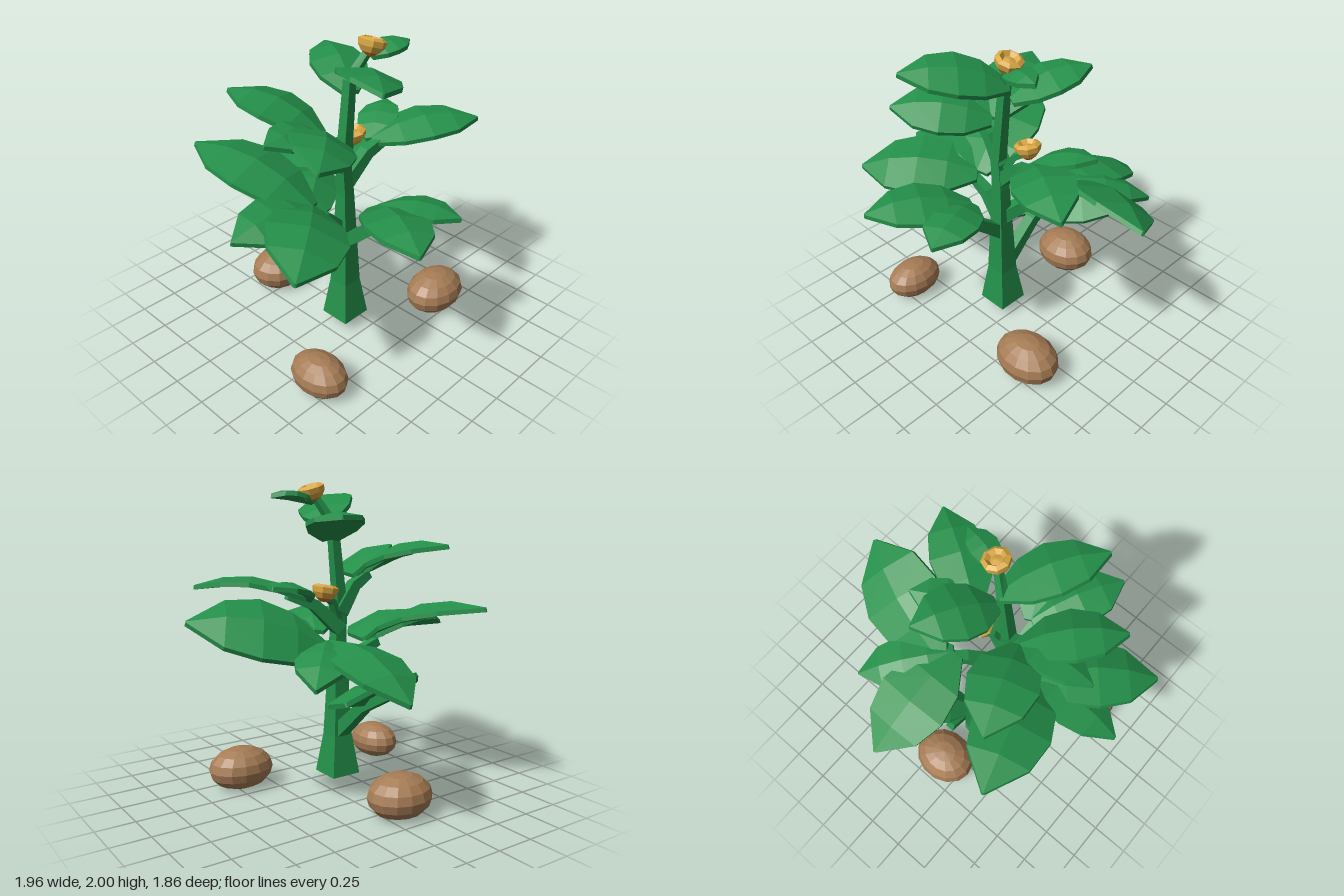
import * as THREE from 'three';

const mat = (name, color) => {
  const m = new THREE.MeshStandardMaterial({ color, flatShading: true });
  m.name = name;
  return m;
};
const V = (a) => new THREE.Vector3(...a);

// Moves every vertex of a geometry by a rule
function reshape(geo, rule) {
  const p = geo.attributes.position, v = new THREE.Vector3();
  for (let i = 0; i < p.count; i++) {
    v.fromBufferAttribute(p, i);
    const r = rule(v);
    p.setXYZ(i, r.x, r.y, r.z);
  }
  geo.computeVertexNormals();
  return geo;
}

// Square stalk through a few points, with a half width at each; u is its sideways direction
function stalkGeometry(pts, half, u) {
  const n = pts.length - 1;
  return reshape(new THREE.BoxGeometry(1, 1, 1, 1, n, 1), (v) => {
    const i = Math.round((v.y + 0.5) * n);
    const t = pts[Math.min(i + 1, n)].clone().sub(pts[Math.max(i - 1, 0)]);
    const w = u.clone().cross(t).normalize();
    return pts[i].clone().addScaledVector(u, v.x * 2 * half[i])
      .addScaledVector(w, v.z * 2 * half[i]);
  });
}

// Side branch leaving the stem at a height and curving over to its end
function branchGeometry(height, end, half) {
  const a = new THREE.Vector3(-0.105, height, 0.07), b = V(end);
  const mid = a.clone().lerp(b, 0.5);
  mid.y += 0.05;
  const u = new THREE.Vector3(b.z - a.z, 0, a.x - b.x).normalize();
  return stalkGeometry([a, mid, b], [half, half * 0.8, half * 0.62], u);
}

// Arched, ridged leaf blade from base to tip, rolled towards an upward direction
function leafGeometry(base, tip, width, up) {
  const along = tip.clone().sub(base), len = along.length();
  along.normalize();
  const x = up.clone().cross(along).normalize(), y = along.clone().cross(x);
  return reshape(new THREE.BoxGeometry(1, 1, 1, 2, 1, 4), (v) => {
    const t = v.z + 0.5;
    const w = width * (0.03 + 0.97 * Math.sin(Math.PI * (0.04 + 0.96 * t)) ** 0.65);
    const h = 0.075 * len * Math.sin(Math.PI * t)
      + (0.5 - Math.abs(v.x)) * w * 0.22 + v.y * 0.028;
    return base.clone().addScaledVector(x, v.x * w).addScaledVector(y, h)
      .addScaledVector(along, t * len);
  });
}

// Leaf clusters: shared base, roll in x and z, then tip and width of each leaf
const CLUSTERS = {
  lowLeaf: { base: [-0.12, 0.65, -0.28], roll: [0, 0.6],
    leaves: [[-0.48, 0.73, -0.27, 0.42], [0.37, 0.79, -0.67, 0.38]] },
  backLeaf: { base: [0.13, 1.02, -0.15], roll: [-0.05, -0.05],
    leaves: [[0.13, 0.8, -0.93, 0.48], [0.54, 0.88, -0.63, 0.34]] },
  rightLeaf: { base: [0.2, 1.0, -0.23], roll: [-0.2, -0.75],
    leaves: [[0.975, 1.2, 0.05, 0.54]] },
  leftLeaf: { base: [-0.36, 0.98, 0.05], roll: [0.1, 0.32],
    leaves: [[-0.61, 1.24, -0.74, 0.5], [-0.98, 1.03, 0.06, 0.36], [-0.955, 0.99, 0.55, 0.5]] },
  frontLeaf: { base: [-0.1, 0.99, 0.34], roll: [0.1, 0],
    leaves: [[-0.4, 1.06, 0.92, 0.4], [0.1, 1.03, 0.82, 0.33]] },
  upperLeftLeaf: { base: [-0.24, 1.42, 0.02], roll: [0.2, 0.35],
    leaves: [[-0.69, 1.5, 0.46, 0.4], [-0.72, 1.53, 0.07, 0.26], [-0.46, 1.61, -0.56, 0.42]] },
  upperRightLeaf: { base: [0.15, 1.27, 0.07], roll: [-0.22, 0],
    leaves: [[0.735, 1.35, 0.45, 0.38], [0.5, 1.38, -0.12, 0.27]] },
  crownLeaf: { base: [-0.03, 1.74, 0.08], roll: [0.35, 0],
    leaves: [[-0.37, 1.88, 0.61, 0.37]] },
  crownBackLeaf: { base: [-0.03, 1.64, 0.06], roll: [0, 0.1],
    leaves: [[0.2, 1.79, -0.39, 0.36]] },
  topLeaf: { base: [0.04, 1.87, 0.15], roll: [0, 0.15],
    leaves: [[0.31, 1.91, 0.21, 0.18]] },
};

export function createModel() {
  const green = mat('leaf green', 0x24904a);
  const gold = mat('flower gold', 0xd9a743);
  const orange = mat('flower orange', 0xc4701f);
  const brown = mat('tuber brown', 0xa67c55);
  const model = new THREE.Group();
  model.name = 'tuberPlant';
  const add = (name, geo, m, parent = model) => {
    const mesh = new THREE.Mesh(geo, m);
    mesh.name = name;
    parent.add(mesh);
    return mesh;
  };

  // Main stem, flared at the foot and bending near the top
  const stem = [[-0.105, 0.08, 0.085], [-0.105, 0.35, 0.085], [-0.105, 1.0, 0.085],
    [-0.12, 1.2, 0.085], [-0.06, 1.74, 0.08], [0.04, 1.92, 0.145]].map(V);
  add('stem', stalkGeometry(stem, [0.105, 0.068, 0.04, 0.036, 0.028, 0.02],
    new THREE.Vector3(1, 0, 0)), green);

  // Side branches: height on the stem, end point
  const branches = {
    backBranch: [0.36, [-0.11, 0.74, -0.48]],
    frontBranch: [0.64, [-0.105, 0.96, 0.58]],
    rightBranch: [0.78, [0.25, 1.0, -0.28]],
    leftBranch: [0.72, [-0.41, 0.95, 0.06]],
    upperLeftBranch: [1.17, [-0.33, 1.41, 0.06]],
    upperRightBranch: [1.06, [0.25, 1.3, 0.13]],
  };
  for (const [name, [height, end]] of Object.entries(branches)) {
    add(name, branchGeometry(height, end, 0.045), green);
  }
  add('flowerBranch', branchGeometry(1.1, [0.05, 1.29, 0], 0.025), green);

  // Leaves
  for (const [name, { base, roll, leaves }] of Object.entries(CLUSTERS)) {
    const up = new THREE.Vector3(roll[0], 1, roll[1]);
    leaves.forEach(([x, y, z, width], i) => add(name + (i + 1),
      leafGeometry(V(base), new THREE.Vector3(x, y, z), width, up), green));
  }

  // Flowers: open eight-sided cups on a small orange foot
  const cup = [[0, 0], [0.055, 0], [0.08, 0.035], [0.086, 0.07], [0.06, 0.085],
    [0.038, 0.06], [0, 0.07]].map((p) => new THREE.Vector2(...p));
  const addFlower = (name, x, y, z, tilt) => {
    const flower = new THREE.Group();
    flower.name = name;
    flower.position.set(x, y, z);
    flower.rotation.z = tilt;
    add('petals', new THREE.LatheGeometry(cup, 8), gold, flower);
    add('foot', new THREE.CylinderGeometry(0.052, 0.025, 0.022, 8), orange, flower)
      .position.y = -0.011;
    model.add(flower);
  };
  addFlower('topFlower', 0.035, 1.897, 0.15, -0.3);
  addFlower('sideFlower', 0.06, 1.28, 0, 0.18);

  // Tubers: faceted ellipsoids resting on a flat underside
  const addTuber = (name, x, z, a, b, c) => {
    const geo = reshape(new THREE.SphereGeometry(1, 14, 8),
      (v) => new THREE.Vector3(v.x * a, Math.max(v.y, -0.9) * b, v.z * c));
    add(name, geo, brown).position.set(x, 0.9 * b, z);
  };
  addTuber('rightTuber', -0.675, 0.42, 0.147, 0.126, 0.2);
  addTuber('leftTuber', 0.455, 0.41, 0.222, 0.142, 0.172);
  addTuber('backTuber', -0.105, -0.57, 0.215, 0.142, 0.18);
  return model;
}
